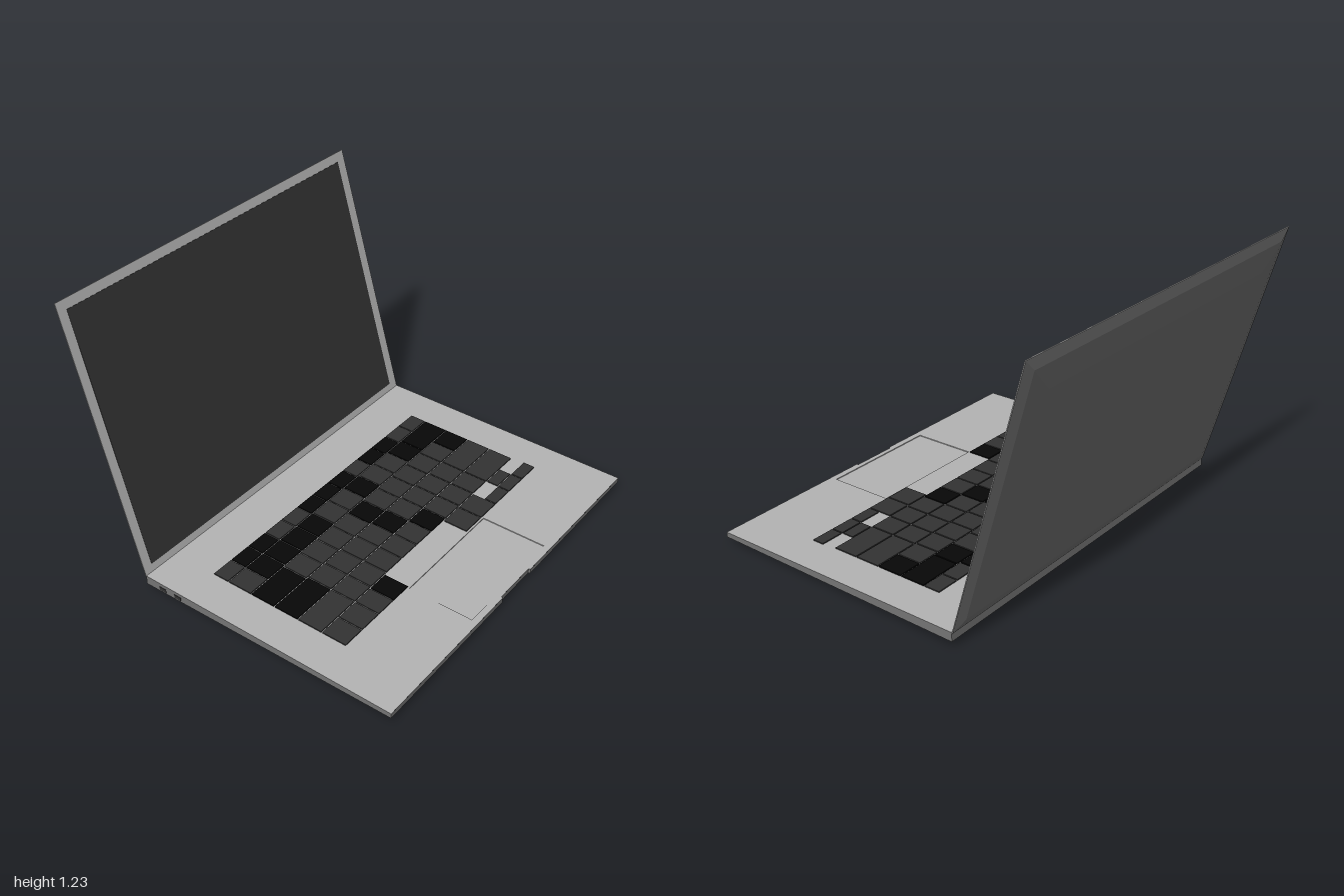
import * as THREE from 'three';

const mat = (name, color) => {
  const m = new THREE.MeshStandardMaterial({ color });
  m.name = name;
  return m;
};

// Skin between matching loops of points, flat faced, with optional end caps
function loft(loops, capStart, capEnd) {
  const pos = [];
  const tri = (...pts) => pts.forEach(p => pos.push(...p));
  const centre = loop => [0, 1, 2].map(k => loop.reduce((s, p) => s + p[k], 0) / loop.length);
  const n = loops[0].length;
  for (let l = 0; l < loops.length - 1; l++) {
    for (let i = 0; i < n; i++) {
      const j = (i + 1) % n, A = loops[l], B = loops[l + 1];
      tri(A[i], A[j], B[j]);
      tri(A[i], B[j], B[i]);
    }
  }
  const first = loops[0], last = loops[loops.length - 1];
  for (let i = 0; i < n; i++) {
    const j = (i + 1) % n;
    if (capStart) tri(centre(first), first[j], first[i]);
    if (capEnd) tri(centre(last), last[i], last[j]);
  }
  const g = new THREE.BufferGeometry();
  g.setAttribute('position', new THREE.Float32BufferAttribute(pos, 3));
  g.computeVertexNormals();
  return g;
}

export function createModel() {
  const grey = mat('light aluminium', 0xb4b4b4);
  const shell = mat('shell grey', 0x757575);
  const dark = mat('dark grey', 0x333333);
  const black = mat('black', 0x070707);

  const model = new THREE.Group();
  model.name = 'laptop';
  const add = (parent, name, geo, material, x = 0, y = 0, z = 0) => {
    const m = new THREE.Mesh(geo, material);
    m.name = name;
    m.position.set(x, y, z);
    parent.add(m);
    return m;
  };

  const W = 0.88, D = 0.61;           // half width and half depth
  const slope = 0.0205;               // deck falls towards the front
  const deckMid = 0.0575;
  const notch = 0.008;                // finger notch in the front edge
  const outline = [
    [-W, D], [-0.11, D], [-0.105, D - notch], [0.105, D - notch], [0.11, D], [W, D], [W, -D], [-W, -D],
  ];
  const rim = outline.map(([x, z]) => [x, 0.026 - 0.006 * z, z]);
  const deckEdge = outline.map(([x, z]) => [x, deckMid - slope * z, z]);
  const belly = rim.map(([x, y, z]) => [x * 0.975, y * 0.35, z > 0 ? D - 0.06 : -D + 0.09]);
  const foot = rim.map(([x, , z]) => [x * 0.92, 0, z > 0 ? D - 0.15 : -D + 0.2]);

  const base = new THREE.Group();
  base.name = 'base';
  model.add(base);
  add(base, 'sides', loft([rim, deckEdge], false, false), shell);
  add(base, 'underside', loft([foot, belly, rim], true, false), black);

  // Side ports
  for (const z of [-0.52, -0.44]) {
    add(base, 'port', new THREE.BoxGeometry(0.004, 0.016, 0.034), dark, -W, 0.044, z);
  }

  // Parts lying on the sloped deck
  const top = new THREE.Group();
  top.name = 'deckParts';
  top.position.y = deckMid;
  top.rotation.x = Math.atan(slope);
  base.add(top);

  // Deck with a sunken trackpad
  const pad = [[-0.29, 0.58], [0.27, 0.58], [0.27, 0.28], [-0.29, 0.28]];
  const flat = pts => pts.map(([x, z]) => new THREE.Vector2(x, -z));
  const deckShape = new THREE.Shape(flat(outline));
  deckShape.holes.push(new THREE.Path(flat(pad)));
  add(top, 'deck', new THREE.ShapeGeometry(deckShape).rotateX(-Math.PI / 2), grey);
  const padLoop = y => pad.map(([x, z]) => [x, y, z]);
  add(top, 'trackpad', loft([padLoop(0), padLoop(-0.004)], false, true), grey);

  // Keyboard
  const keyboard = new THREE.Group();
  keyboard.name = 'keyboard';
  top.add(keyboard);
  const gap = 0.006;
  const key = (x0, x1, z0, z1, isBlack) => add(keyboard, 'key',
    new THREE.BoxGeometry(x1 - x0 - gap, 0.008, z1 - z0 - gap),
    isBlack ? black : dark, (x0 + x1) / 2, 0.001, (z0 + z1) / 2);

  const K = 0.708;
  // Each row: depth range, first key width, last key width, key count, black keys
  const rows = [
    [-0.402, -0.322, 0.109, 0.109, 13, [1, 2, 5, 6, 7, 9, 10]],
    [-0.322, -0.203, 0.109, 0.2, 12, [1, 2, 3, 4, 7, 10, 11]],
    [-0.203, -0.083, 0.208, 0.115, 12, [0, 5, 11]],
    [-0.083, 0.036, 0.218, 0.218, 11, [0, 5]],
    [0.036, 0.155, 0.218, 0.218, 11, [6]],
  ];
  for (const [z0, z1, first, last, count, blacks] of rows) {
    const mid = (2 * K - first - last) / (count - 2);
    let x = -K;
    for (let i = 0; i < count; i++) {
      const w = i === 0 ? first : i === count - 1 ? last : mid;
      key(x, x + w, z0, z1, blacks.includes(i));
      x += w;
    }
  }
  // Bottom row on both sides of the open middle
  const z0 = 0.155, zm = 0.214, z1 = 0.274;
  key(-K, -0.6, z0, z1, false);
  key(-0.6, -0.49, z0, z1, false);
  key(-0.49, -0.39, z0, z1, false);
  key(-0.39, -0.285, z0, z1, true);
  key(0.145, 0.262, z0, z1, false);
  key(0.262, 0.38, z0, z1, false);
  // Arrow keys
  for (const x of [0.38, 0.492, 0.604]) key(x, x + 0.112, zm, z1, false);
  key(0.492, 0.604, z0, zm, false);

  // Lid, leaning back from the rear edge
  const H = 1.207;
  const lid = new THREE.Group();
  lid.name = 'lid';
  lid.position.set(0, 0.067, -D);
  lid.rotation.x = -0.273;
  model.add(lid);
  const rect = (inset, z) => [
    [-W + inset, inset, z], [W - inset, inset, z], [W - inset, H - inset, z], [-W + inset, H - inset, z],
  ];
  add(lid, 'lidShell', loft([rect(0.16, -0.023), rect(0.05, -0.015), rect(0, -0.004)], true, false), shell);
  add(lid, 'bezel', loft([rect(0, -0.004), rect(0, 0)], false, true), grey);
  add(lid, 'screen', new THREE.BoxGeometry(1.668, 1.13, 0.003), dark, -0.003, 0.6, 0);

  // Turn the whole laptop to the side
  model.rotation.y = 1.391;
  model.position.set(0.158, 0, 0.025);
  const root = new THREE.Group();
  root.name = 'laptopModel';
  root.add(model);
  return root;
}
